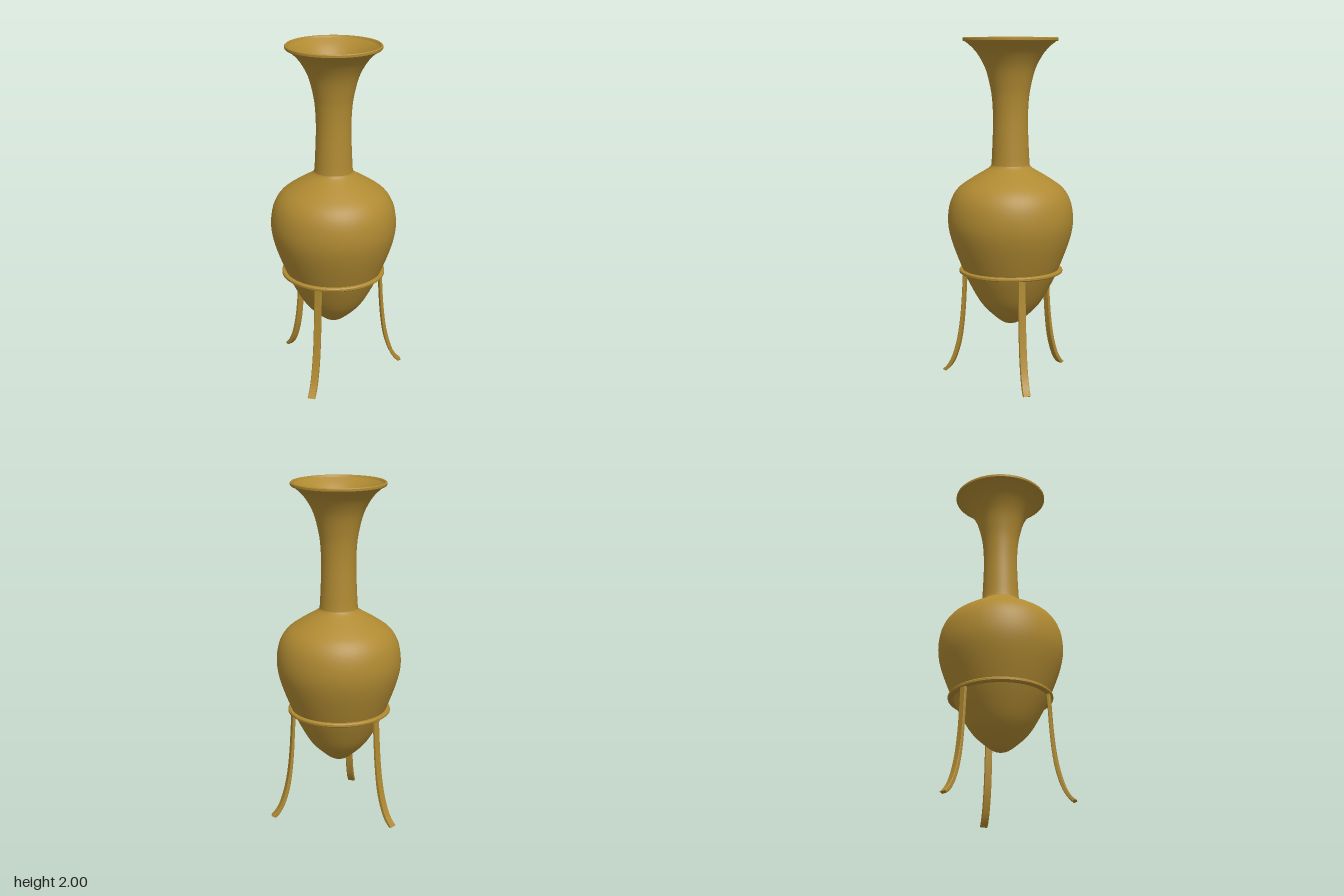
import * as THREE from 'three';
import { toCreasedNormals } from 'three/addons/utils/BufferGeometryUtils.js';

const bronze = new THREE.MeshStandardMaterial({ color: 0xb08a32 });
bronze.name = 'bronze';

const vec = (pts) => pts.map(([x, y]) => new THREE.Vector2(x, y));
const smooth = (pts, n) => new THREE.SplineCurve(vec(pts)).getPoints(n)
  .map((p) => new THREE.Vector2(Math.max(p.x, 0), p.y));

function part(name, geometry) {
  const mesh = new THREE.Mesh(geometry, bronze);
  mesh.name = name;
  return mesh;
}

const turned = (name, points, segments = 48) => part(name, new THREE.LatheGeometry(points, segments));
const turnedSharp = (name, pts) =>
  part(name, toCreasedNormals(new THREE.LatheGeometry(vec(pts), 48), 0.6));

// Curved leg: a strip in the radial plane, given its width by extrusion
function legGeometry() {
  const outer = [[0.294, 0.64], [0.296, 0.58], [0.306, 0.42], [0.32, 0.29], [0.34, 0.185], [0.368, 0.095], [0.398, 0.04], [0.428, 0.008]];
  const inner = [[0.408, 0], [0.378, 0.03], [0.348, 0.085], [0.318, 0.18], [0.3, 0.29], [0.288, 0.42], [0.279, 0.58], [0.274, 0.64]];
  const outline = [...smooth(outer, 20), ...smooth(inner, 20)];
  const width = 0.042, bevel = 0.003;
  const geo = new THREE.ExtrudeGeometry(new THREE.Shape(outline), {
    depth: width - 2 * bevel, bevelEnabled: true, bevelThickness: bevel,
    bevelSize: bevel, bevelOffset: -bevel, bevelSegments: 1,
  });
  geo.translate(0, 0, -width / 2 + bevel);
  return toCreasedNormals(geo, 0.6);
}

export function createModel() {
  const model = new THREE.Group();
  model.name = 'amphoraOnStand';

  // Vase: pointed body and long neck
  const vase = new THREE.Group();
  vase.name = 'vase';
  vase.add(turned('body', smooth([
    [0, 0.33], [0.04, 0.335], [0.09, 0.37], [0.17, 0.45], [0.24, 0.57], [0.29, 0.68], [0.345, 0.83],
    [0.365, 0.94], [0.352, 1.05], [0.308, 1.13], [0.228, 1.19], [0.133, 1.247], [0.112, 1.268],
  ], 48)));
  vase.add(turned('neck', smooth([
    [0.112, 1.268], [0.108, 1.32], [0.101, 1.5], [0.104, 1.62], [0.115, 1.71], [0.143, 1.82],
    [0.185, 1.9], [0.225, 1.947], [0.262, 1.977],
  ], 32)));

  // Thin rolled rim, flared inner wall and floor of the neck
  vase.add(turnedSharp('rim', [
    [0.258, 1.977], [0.27, 1.978], [0.274, 1.983], [0.274, 1.995], [0.269, 2], [0.262, 1.998], [0.256, 1.988],
  ]));
  vase.add(turned('innerWall', smooth([
    [0.256, 1.988], [0.21, 1.95], [0.17, 1.9], [0.129, 1.82], [0.101, 1.71], [0.091, 1.62],
    [0.088, 1.5], [0.094, 1.28],
  ], 32)));
  vase.add(turned('neckFloor', vec([[0.095, 1.28], [0, 1.28]])));

  // Stand: hoop around the body and three splayed legs
  const stand = new THREE.Group();
  stand.name = 'stand';
  stand.add(turnedSharp('hoop', [
    [0.27, 0.637], [0.297, 0.637], [0.303, 0.642], [0.303, 0.653], [0.297, 0.659],
    [0.276, 0.659], [0.27, 0.653], [0.27, 0.637],
  ]));
  const legGeo = legGeometry();
  for (let i = 0; i < 3; i++) {
    const leg = part('leg', legGeo);
    leg.rotation.y = Math.PI / 2 + (i * Math.PI * 2) / 3;
    stand.add(leg);
  }
  stand.rotation.y = 0.022;

  vase.position.z = 0.032;
  stand.position.z = 0.03;
  model.add(vase, stand);
  return model;
}
